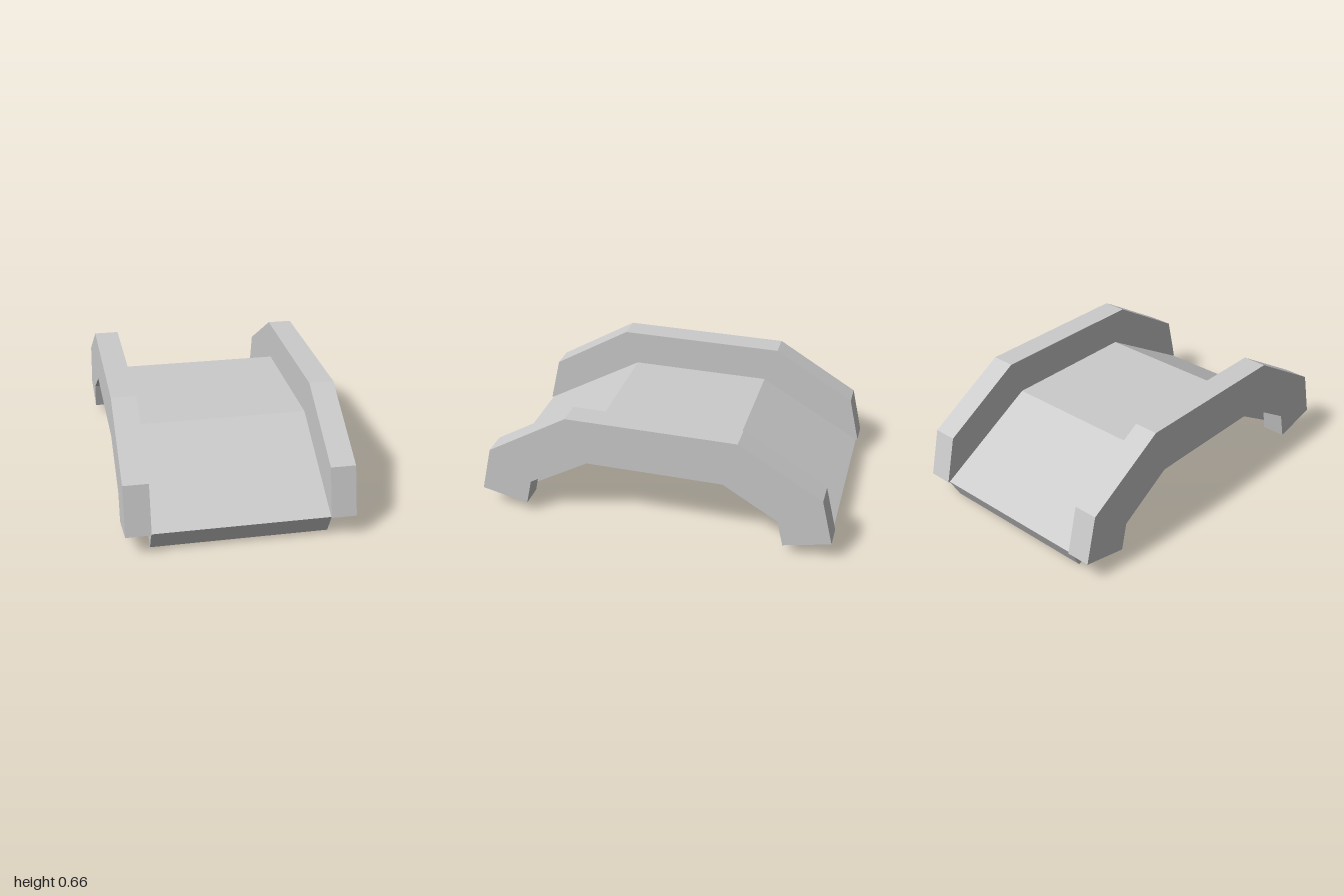
import * as THREE from 'three';

const material = new THREE.MeshStandardMaterial({ color: 0xcccccc, flatShading: true });

// Mirrors half profiles (z, y) front to back, joins them and extrudes the result across x.
function archPart(name, outer, inner, x0, x1) {
  const mirror = (pts) => pts.map(([z, y]) => [-z, y]).reverse();
  const outline = [...outer, ...mirror(outer), ...inner.map(([z, y]) => [-z, y]), ...mirror(inner).map(([z, y]) => [-z, y])];
  const half = inner.length;
  // Underside runs from the back end to the middle, then on to the front end.
  const under = [...inner.map(([z, y]) => [-z, y]), ...[...inner].reverse()];
  const points = [...outline.slice(0, outline.length - 2 * half), ...under];
  const shape = new THREE.Shape(points.map(([z, y]) => new THREE.Vector2(z, y)));
  const geometry = new THREE.ExtrudeGeometry(shape, { depth: x1 - x0, bevelEnabled: false });
  geometry.rotateY(-Math.PI / 2);
  geometry.translate(x1, 0, 0);
  const mesh = new THREE.Mesh(geometry, material);
  mesh.name = name;
  return mesh;
}

export function createModel() {
  const model = new THREE.Group();
  model.name = 'archedBridge';

  // Deck: sloped ramps on both ends of a flat middle
  model.add(archPart('deck',
    [[0.99, 0.12], [0.405, 0.457]],
    [[0.925, 0.003], [0.375, 0.324]],
    -0.474, 0.474));

  // Side walls: thick angular arches with bent-down ends
  const wallOuter = [[1, 0.12], [0.937, 0.384], [0.475, 0.66]];
  const wallInner = [[0.738, 0.06], [0.704, 0.211], [0.4, 0.395]];
  model.add(archPart('leftWall', wallOuter, wallInner, 0.472, 0.607));
  model.add(archPart('rightWall', wallOuter, wallInner, -0.607, -0.472));

  return model;
}
